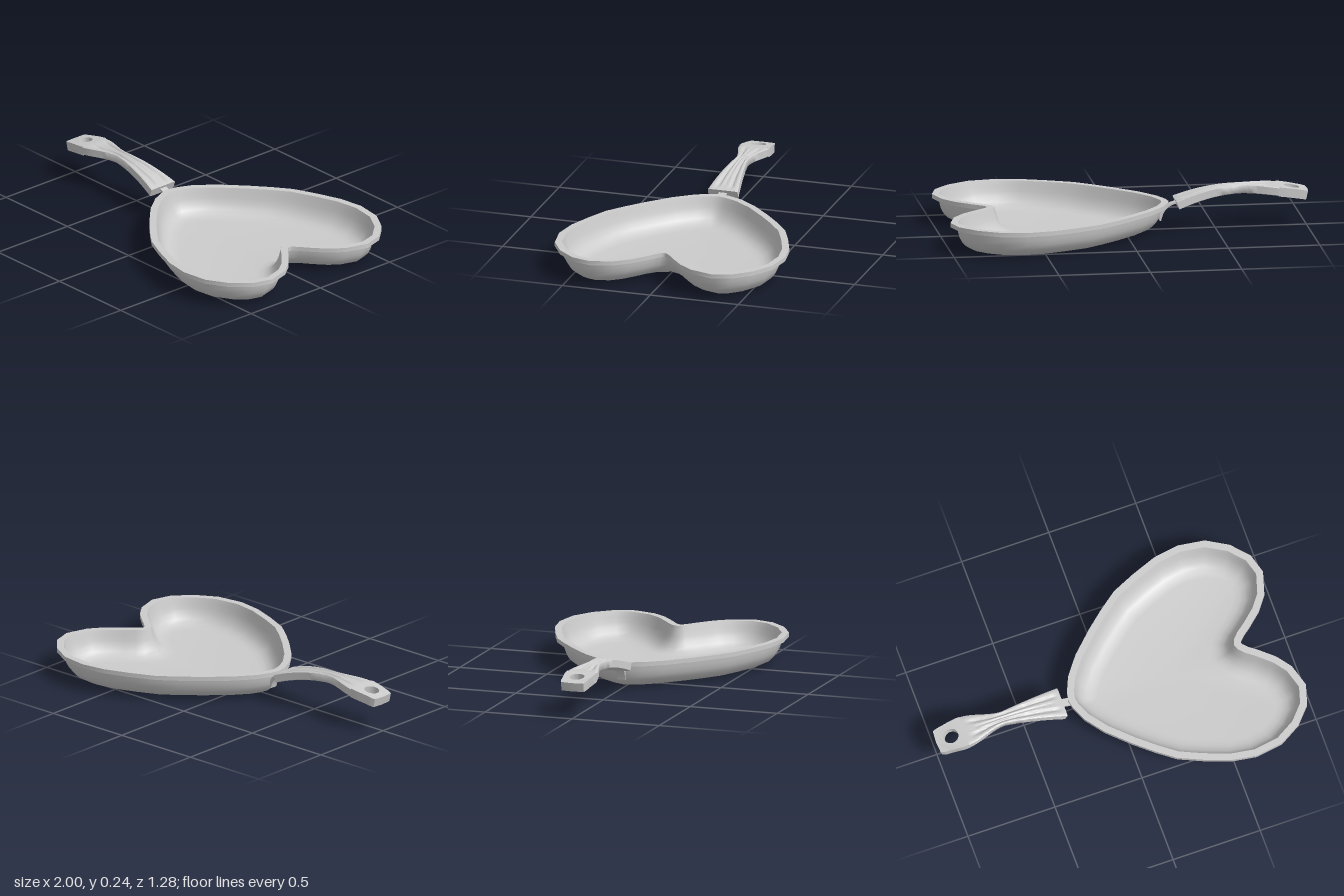
import * as THREE from 'three';
import { toCreasedNormals } from 'three/addons/utils/BufferGeometryUtils.js';

const V = (x, y, z) => new THREE.Vector3(x, y, z);
const material = new THREE.MeshStandardMaterial({ color: 0xcccccc });

function part(name, geometry) {
  const mesh = new THREE.Mesh(geometry, material);
  mesh.name = name;
  return mesh;
}

// Skin a stack of closed rings and close both ends with fans
function loft(rings, startCentre, endCentre, crease) {
  const n = rings[0].length;
  const points = [...rings.flat(), startCentre, endCentre];
  const index = [];
  const last = (rings.length - 1) * n;
  const c0 = rings.length * n;
  for (let j = 0; j < n; j++) {
    const k = (j + 1) % n;
    for (let i = 0; i < rings.length - 1; i++) {
      const a = i * n + j, b = i * n + k;
      index.push(a, b, b + n, a, b + n, a + n);
    }
    index.push(c0, k, j, c0 + 1, last + j, last + k);
  }
  const g = new THREE.BufferGeometry().setFromPoints(points);
  g.setIndex(index);
  return toCreasedNormals(g, crease);
}

// Heart outline as [x, z], one half from tip to cleft, then mirrored
const half = [
  [-0.245, 0], [-0.235, 0.05], [-0.2, 0.13], [-0.12, 0.235], [0, 0.35], [0.1, 0.435],
  [0.2, 0.51], [0.33, 0.568], [0.47, 0.62], [0.61, 0.642], [0.76, 0.62], [0.88, 0.55],
  [0.965, 0.455], [0.997, 0.345], [0.96, 0.22], [0.9, 0.14], [0.82, 0.07],
  [0.775, 0.036], [0.752, 0.012], [0.747, 0],
];
const heart = [...half, ...half.slice(1, -1).reverse().map(([x, z]) => [x, -z])];

// Outline moved inwards by a distance, at height y
function heartRing(inset, y) {
  const n = heart.length;
  return heart.map(([x, z], j) => {
    const [px, pz] = heart[(j + n - 1) % n], [nx, nz] = heart[(j + 1) % n];
    const a = new THREE.Vector2(pz - z, x - px).normalize();
    const b = new THREE.Vector2(z - nz, nx - x).normalize();
    const m = a.clone().add(b).normalize();
    const d = inset / m.dot(a);
    return V(x - m.x * d, y, z - m.y * d);
  });
}

// Pan wall section as [inset, y]: outside, rim, inside
const panProfile = [
  [0.15, 0], [0.115, 0.006], [0.085, 0.021], [0.063, 0.043], [0.048, 0.072], [0.04, 0.102],
  [0.035, 0.132], [0, 0.132], [0, 0.156], [0.038, 0.156],
  [0.045, 0.13], [0.053, 0.1], [0.063, 0.073], [0.08, 0.046], [0.102, 0.026],
  [0.132, 0.015], [0.165, 0.012],
];

// Handle: half width and centre line along x
const smooth = THREE.MathUtils.smoothstep;
function handleWidth(x) {
  if (x < -0.85) return 0.07 + 0.015 * smooth(x, -1, -0.85);
  if (x < -0.62) return 0.085 - 0.05 * smooth(x, -0.85, -0.62);
  return 0.035 + 0.05 * Math.pow((x + 0.62) / 0.335, 1.1);
}

// Bend a straight handle point onto the arched centre line
function bend(x, h, z) {
  const d = x + 0.65;
  const k = d < 0 ? 0.33 : 0.54;
  const slope = -2 * k * d;
  const s = 1 / Math.hypot(1, slope);
  return V(x - h * slope * s, 0.215 - k * d * d + h * s, z);
}

const THICK = 0.05;
const JOIN = -0.84;

// Grip with lengthwise grooves above and below
function gripGeometry() {
  const rings = [], steps = 40, cols = 40, end = -0.287;
  for (let i = 0; i <= steps; i++) {
    const x = JOIN + (end - JOIN) * i / steps;
    const w = handleWidth(x);
    const fade = smooth(x, -0.83, -0.76) * (1 - smooth(x, -0.34, -0.3));
    const height = (u) => {
      const side = Math.exp(-Math.pow((Math.abs(u) - 0.48) / 0.15, 2));
      const middle = Math.exp(-Math.pow(u / 0.12, 2));
      return THICK / 2 - fade * (0.011 * side + 0.006 * middle) - 0.005 * Math.pow(u, 12);
    };
    const ring = [];
    for (const sign of [1, -1]) {
      for (let j = 0; j <= cols; j++) {
        const u = sign * (-1 + 2 * j / cols);
        ring.push(bend(x, sign * height(u), u * w));
      }
    }
    rings.push(ring);
  }
  return loft(rings, bend(JOIN, 0, 0), bend(end, 0, 0), 0.8);
}

// Hanging end with a round hole
function hangingEndGeometry() {
  const side = [];
  for (let i = 0; i <= 8; i++) {
    const x = -0.995 + (JOIN + 0.995) * i / 8;
    side.push([x, handleWidth(x) - (i === 0 ? 0.006 : 0)]);
  }
  const shape = new THREE.Shape([
    new THREE.Vector2(-1, 0),
    ...side.map(([x, z]) => new THREE.Vector2(x, -z)),
    ...side.reverse().map(([x, z]) => new THREE.Vector2(x, z)),
  ]);
  shape.holes.push(new THREE.Path().absarc(-0.915, 0, 0.04, 0, Math.PI * 2, true));
  const g = new THREE.ExtrudeGeometry(shape, { depth: THICK, bevelEnabled: false, curveSegments: 24 });
  g.rotateX(-Math.PI / 2).translate(0, -THICK / 2, 0);
  const p = g.attributes.position;
  for (let i = 0; i < p.count; i++) {
    const v = bend(p.getX(i), p.getY(i), p.getZ(i));
    p.setXYZ(i, v.x, v.y, v.z);
  }
  return toCreasedNormals(g, 0.6);
}

// Thin curved strap between pan wall and handle
function strapGeometry() {
  const s = new THREE.Shape();
  s.moveTo(-0.31, 0.15);
  s.bezierCurveTo(-0.24, 0.135, -0.215, 0.11, -0.203, 0.05);
  s.lineTo(-0.195, 0.05);
  s.lineTo(-0.195, 0.09);
  s.bezierCurveTo(-0.21, 0.125, -0.24, 0.143, -0.31, 0.159);
  const g = new THREE.ExtrudeGeometry(s, { depth: 0.044, bevelEnabled: false, curveSegments: 12 });
  g.translate(0, 0, -0.022);
  return toCreasedNormals(g, 0.6);
}

export function createModel() {
  const model = new THREE.Group();
  model.name = 'heartPan';

  const pan = loft(panProfile.map(([d, y]) => heartRing(d, y)), V(0.35, 0, 0), V(0.35, 0.012, 0), 0.95);
  model.add(part('pan', pan));

  const handle = new THREE.Group();
  handle.name = 'handle';
  handle.add(part('grip', gripGeometry()), part('hangingEnd', hangingEndGeometry()));
  model.add(handle, part('strap', strapGeometry()));
  return model;
}
